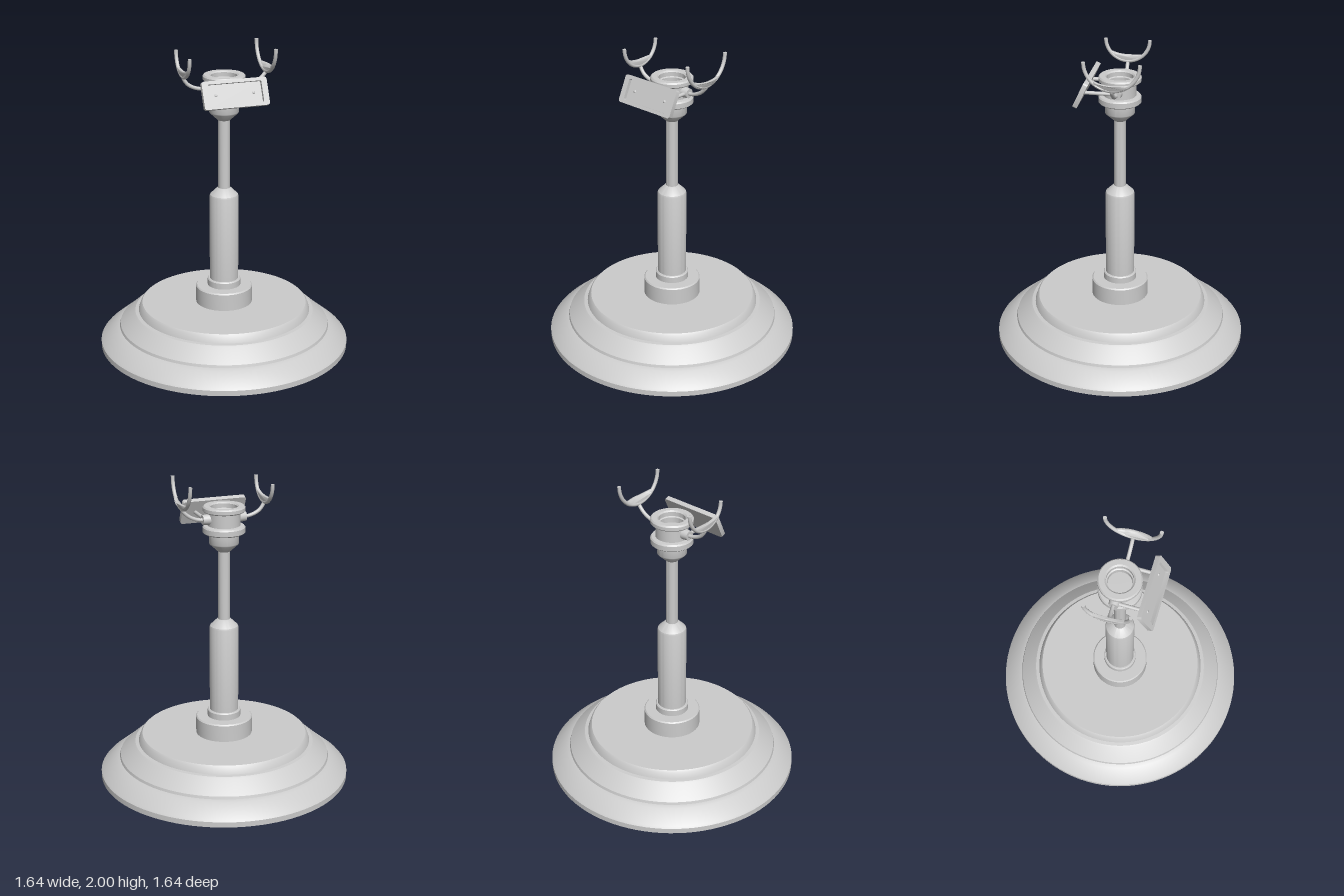
import * as THREE from 'three';
import { toCreasedNormals } from 'three/addons/utils/BufferGeometryUtils.js';

const grey = new THREE.MeshStandardMaterial({ color: 0xcccccc, side: THREE.DoubleSide });
const vec = (x, y, z) => new THREE.Vector3(x, y, z);

function part(name, geometry, parent) {
  const mesh = new THREE.Mesh(geometry, grey);
  mesh.name = name;
  parent.add(mesh);
  return mesh;
}

// turned part from [radius, height] pairs, listed bottom to top
function turned(name, points, parent, segments = 64) {
  const profile = points.map(([r, y]) => new THREE.Vector2(r, y));
  return part(name, toCreasedNormals(new THREE.LatheGeometry(profile, segments), 0.45), parent);
}

function rod(name, points, radius, parent) {
  const curve = new THREE.CatmullRomCurve3(points);
  const mesh = part(name, new THREE.TubeGeometry(curve, 32, radius, 12), parent);
  // rounded ends
  for (const p of [points[0], points[points.length - 1]]) {
    part(name + 'End', new THREE.SphereGeometry(radius, 12, 8), parent).position.copy(p);
  }
  return mesh;
}

function roundedRect(w, h, r, Type) {
  const s = new Type();
  const x = w / 2 - r, y = h / 2 - r;
  s.absarc(x, y, r, 0, Math.PI / 2);
  s.absarc(-x, y, r, Math.PI / 2, Math.PI);
  s.absarc(-x, -y, r, Math.PI, Math.PI * 1.5);
  s.absarc(x, -y, r, Math.PI * 1.5, Math.PI * 2);
  s.closePath();
  return s;
}

// tilted tray with a raised rim, held by two rods
function buildPanel(parent) {
  const panel = new THREE.Group();
  panel.name = 'panel';
  panel.position.set(0, 1.751, 0.212);
  panel.rotation.x = -0.44;
  parent.add(panel);

  const rim = roundedRect(0.424, 0.177, 0.016, THREE.Shape);
  rim.holes.push(roundedRect(0.35, 0.134, 0.008, THREE.Path));
  const rimGeo = new THREE.ExtrudeGeometry(rim, { depth: 0.022, bevelEnabled: false, curveSegments: 6 });
  part('panelRim', toCreasedNormals(rimGeo, 0.5), panel).position.z = -0.007;

  const back = new THREE.ExtrudeGeometry(roundedRect(0.424, 0.177, 0.016, THREE.Shape),
    { depth: 0.008, bevelEnabled: false, curveSegments: 6 });
  part('panelBack', toCreasedNormals(back, 0.5), panel).position.z = -0.015;

  for (const s of [-1, 1]) {
    rod('panelRod', [vec(s * 0.123, 1.745, 0), vec(s * 0.123, 1.745, 0.2)], 0.012, parent);
  }
}

// crescent web that fills the bottom of a cradle, its upper edge pushed outward
function cradlePad(radius, halfWidth, bulge) {
  const a = Math.asin(halfWidth / radius);
  const low = -radius, high = -radius * Math.cos(a) + 0.015;
  const shape = new THREE.Shape();
  shape.absarc(0, 0, radius, -Math.PI / 2 - a, -Math.PI / 2 + a, false);
  shape.quadraticCurveTo(halfWidth * 0.6, -radius + 0.037, 0, -radius + 0.037);
  shape.quadraticCurveTo(-halfWidth * 0.6, -radius + 0.037, -halfWidth, high);
  shape.closePath();
  const geo = new THREE.ExtrudeGeometry(shape, {
    depth: 0.008, bevelThickness: 0.006, bevelSize: 0.004, bevelSegments: 3, curveSegments: 20,
  });
  geo.translate(0, 0, -0.004);
  const p = geo.attributes.position;
  for (let i = 0; i < p.count; i++) {
    const t = Math.max(0, (p.getY(i) - low) / 0.04);
    const fade = Math.max(0, 1 - (p.getX(i) / halfWidth) ** 2);
    p.setZ(i, p.getZ(i) + bulge * t * fade);
  }
  geo.rotateY(Math.PI / 2);
  return toCreasedNormals(geo, 0.8);
}

// curved arm carrying an upright half-ring
function buildCradle(side, x, radius, top, halfWidth, bulge, parent) {
  const cradle = new THREE.Group();
  cradle.name = side > 0 ? 'leftCradle' : 'rightCradle';
  cradle.scale.x = side;
  parent.add(cradle);

  const boss = part('boss', new THREE.CylinderGeometry(0.03, 0.035, 0.05, 24), cradle);
  boss.rotation.z = -Math.PI / 2;
  boss.position.set(0.12, 1.745, 0);

  rod('arm', [vec(0.1, 1.745, 0), vec(0.17, 1.747, 0), vec(0.235, 1.775, 0),
    vec(x - 0.004, 1.815, 0), vec(x, top - radius, 0)], 0.012, cradle);

  const ring = [];
  for (let i = 0; i <= 16; i++) {
    const a = Math.PI * (1 + i / 16);
    ring.push(vec(x, top + radius * Math.sin(a), radius * Math.cos(a)));
  }
  const ringGeo = new THREE.TubeGeometry(new THREE.CatmullRomCurve3(ring), 48, 0.012, 12);
  part('cradleRing', ringGeo, cradle);
  for (const s of [-1, 1]) {
    const cap = part('ringTip', new THREE.CircleGeometry(0.012, 12), cradle);
    cap.rotation.x = -Math.PI / 2;
    cap.position.set(x, top, s * radius);
  }
  part('cradlePad', cradlePad(radius, halfWidth, bulge), cradle).position.set(x, top, 0);
}

export function createModel() {
  const model = new THREE.Group();
  model.name = 'pedestalStand';

  // hollow stepped base
  turned('base', [[0.82, 0], [0.82, 0.035], [0.81, 0.047], [0.72, 0.12], [0.695, 0.128], [0.69, 0.145],
    [0.682, 0.152], [0.6, 0.225], [0.59, 0.232], [0.567, 0.235], [0.553, 0.275], [0.542, 0.287],
    [0, 0.287]], model, 96);

  // column
  turned('footCollar', [[0, 0.286], [0.185, 0.286], [0.185, 0.397], [0.178, 0.405], [0, 0.405]], model);
  turned('sleeveRing', [[0.108, 0.4], [0.108, 0.445], [0.102, 0.452], [0, 0.452]], model);
  turned('sleeve', [[0.094, 0.44], [0.094, 1.02], [0.09, 1.032], [0.046, 1.075], [0.038, 1.078]], model);
  turned('rod', [[0.038, 1.06], [0.038, 1.54]], model, 32);

  // head: cup, two flanges and an open socket
  turned('cup', [[0, 1.53], [0.04, 1.53], [0.092, 1.578], [0.095, 1.585], [0.095, 1.645], [0, 1.645]], model);
  turned('head', [[0, 1.64], [0.095, 1.64], [0.125, 1.648], [0.135, 1.656], [0.135, 1.688], [0.128, 1.697],
    [0.103, 1.7], [0.103, 1.785], [0.128, 1.789], [0.135, 1.796], [0.135, 1.817], [0.127, 1.826],
    [0.093, 1.826], [0.084, 1.818], [0.084, 1.79], [0.076, 1.785], [0.076, 1.75], [0, 1.75]], model);

  buildPanel(model);
  buildCradle(1, 0.28, 0.173, 2.0, 0.11, 0.022, model);
  buildCradle(-1, 0.27, 0.142, 1.97, 0.1, 0.003, model);
  return model;
}
